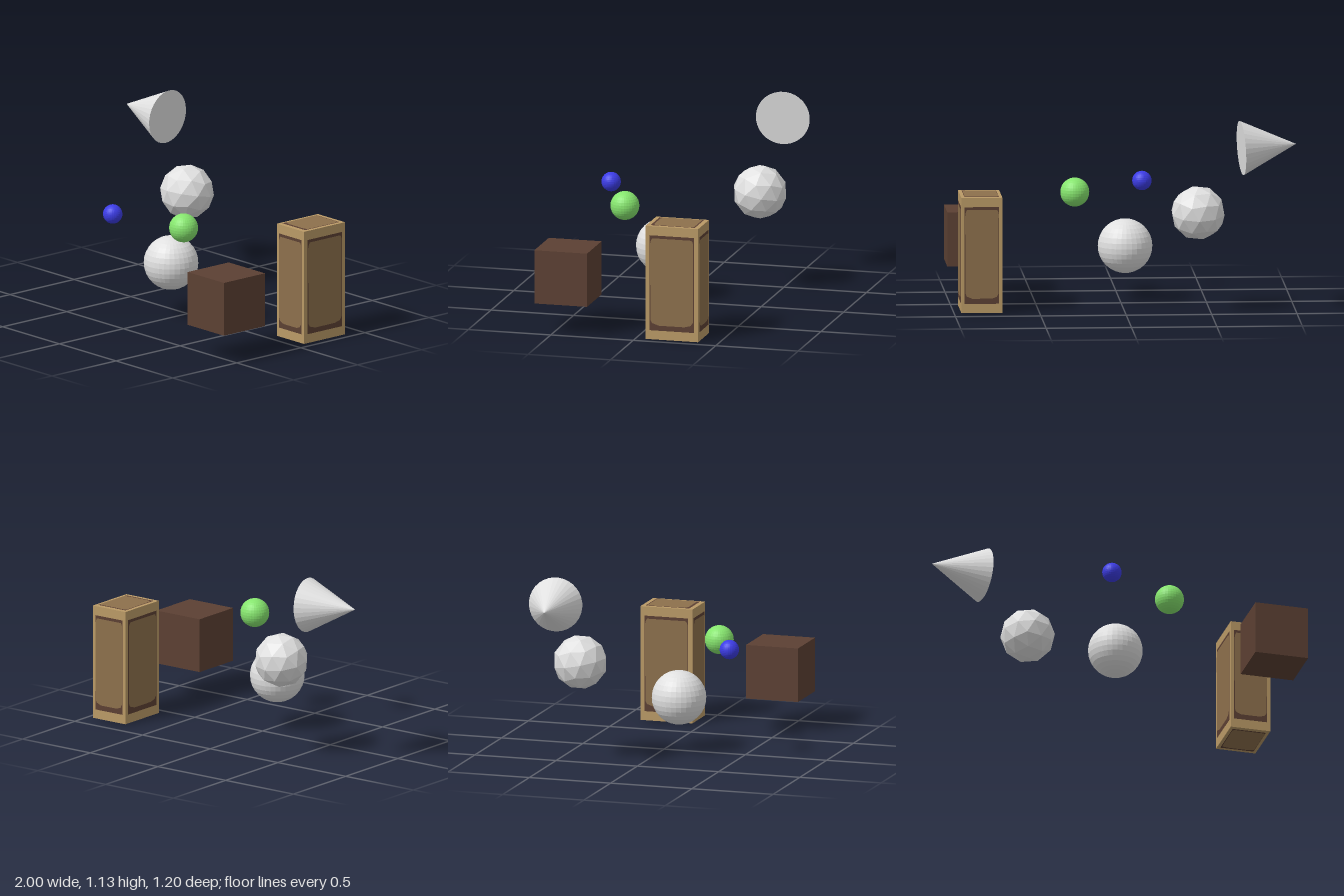
import * as THREE from 'three';

const mat = (name, color, flatShading = false) => {
  const m = new THREE.MeshStandardMaterial({ color, flatShading });
  m.name = name;
  return m;
};

export function createModel() {
  const model = new THREE.Group();
  model.name = 'floatingShapes';

  const paleGrey = mat('paleGrey', 0xe0e0e0, true);
  const green = mat('green', 0x86e56e, true);
  const blue = mat('blue', 0x3c3ce6, true);
  const darkBrown = mat('darkBrown', 0x5c4033);
  const tan = mat('tan', 0xba9a66);
  const midBrown = mat('midBrown', 0x8d704c);

  const add = (name, geometry, material, position, parent = model) => {
    const mesh = new THREE.Mesh(geometry, material);
    mesh.name = name;
    mesh.position.set(...position);
    parent.add(mesh);
    return mesh;
  };

  // Faceted balls
  const ball = (name, r, material, position) =>
    add(name, new THREE.SphereGeometry(r, 32, 16), material, position);
  ball('largeBall', 0.16, paleGrey, [-0.03, 0.32, 0.102]);
  ball('greenBall', 0.085, green, [0.255, 0.617, 0.256]);
  ball('blueBall', 0.057, blue, [-0.15, 0.653, 0.451]);

  // Coarse ball made of triangles
  const facetBall = add('facetBall', new THREE.IcosahedronGeometry(0.16, 1), paleGrey, [-0.428, 0.58, -0.375]);
  facetBall.rotation.set(-0.2, 0, -0.553);

  // Cone lying on its side, pointing to -x
  const apex = new THREE.Vector3(-1, 0.987, -0.409);
  const base = new THREE.Vector3(-0.678, 0.97, -0.444);
  const axis = apex.clone().sub(base);
  const middle = apex.clone().add(base).multiplyScalar(0.5);
  const cone = add('cone', new THREE.ConeGeometry(0.16, axis.length(), 32), paleGrey, middle.toArray());
  cone.quaternion.setFromUnitVectors(new THREE.Vector3(0, 1, 0), axis.normalize());

  // Dark cube
  add('cube', new THREE.BoxGeometry(0.32, 0.32, 0.32), darkBrown, [0.84, 0.34, 0.44]);

  // Tall crate with a framed, worn panel on every side
  const crate = new THREE.Group();
  crate.name = 'crate';
  crate.position.set(0.838, 0.34, -0.222);
  model.add(crate);
  const [W, H, D] = [0.24, 0.68, 0.32];
  add('crateBody', new THREE.BoxGeometry(W, H, D), tan, [0, 0, 0], crate);

  // Panel outline in face fractions, with uneven lower corners
  const panelOutline = [
    [-0.40, -0.33], [-0.37, -0.355], [-0.24, -0.375], [0.24, -0.375],
    [0.36, -0.36], [0.405, -0.33], [0.41, 0.36], [0.39, 0.385],
    [0.37, 0.395], [-0.37, 0.395], [-0.395, 0.37], [-0.41, 0.34],
  ];
  const cratePanel = (w, h, depth, rx, ry) => {
    const side = new THREE.Group();
    side.name = 'crateSide';
    side.rotation.set(rx, ry, 0);
    crate.add(side);
    add('panelEdge', new THREE.PlaneGeometry(w * 0.84, h * 0.84), darkBrown, [0, 0, depth / 2 + 0.0015], side);
    const shape = new THREE.Shape(panelOutline.map(([u, v]) => new THREE.Vector2(u * w, v * h)));
    add('panel', new THREE.ShapeGeometry(shape), midBrown, [0, 0, depth / 2 + 0.003], side);
  };
  for (const turn of [0, Math.PI]) {
    cratePanel(W, H, D, 0, turn);
    cratePanel(D, H, W, 0, turn + Math.PI / 2);
  }
  for (const s of [-1, 1]) cratePanel(W, D, H, s * Math.PI / 2, 0);

  return model;
}
